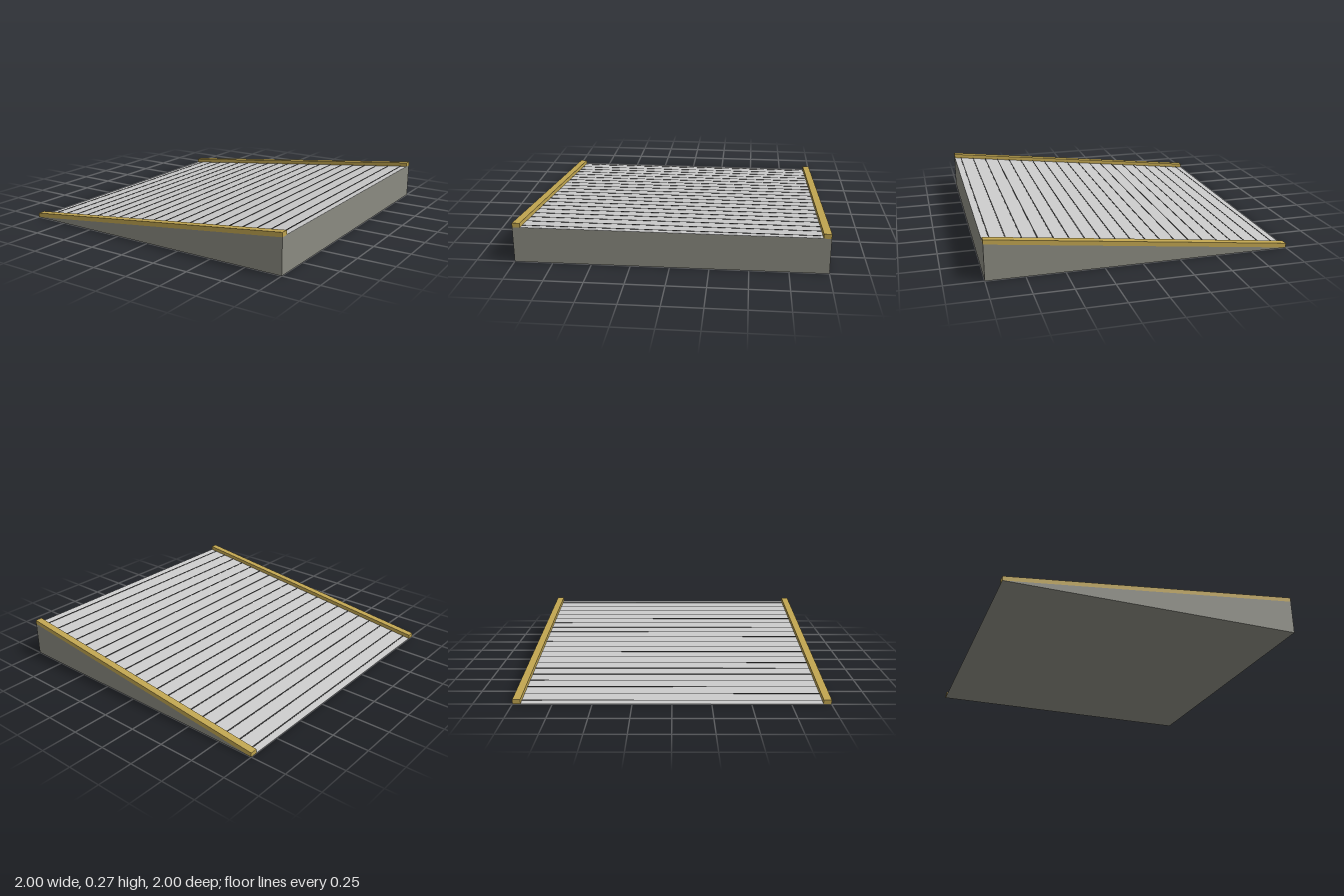
import * as THREE from 'three';

const RISE = 0.237;
const slopeY = (x) => (RISE * (x + 1)) / 2;

const material = (name, color) => Object.assign(new THREE.MeshStandardMaterial({ color }), { name });

// Prism with an x-y profile, running from z0 to z1
function prism(name, points, z0, z1, mat) {
  const shape = new THREE.Shape(points.map(([x, y]) => new THREE.Vector2(x, y)));
  const geometry = new THREE.ExtrudeGeometry(shape, { depth: z1 - z0, bevelEnabled: false });
  geometry.translate(0, 0, z0);
  const mesh = new THREE.Mesh(geometry, mat);
  mesh.name = name;
  return mesh;
}

// Slab lying on the slope between x0 and x1, with vertical ends
function slab(name, x0, x1, height, z0, z1, mat) {
  const a = slopeY(x0), b = slopeY(x1);
  return prism(name, [[x0, a], [x1, b], [x1, b + height], [x0, a + height]], z0, z1, mat);
}

export function createModel() {
  const concrete = material('concrete', 0x8b8b81);
  const metal = material('metal', 0xcacaca);
  const groove = material('groove', 0x3a3a3a);
  const yellow = material('curb yellow', 0xc0a550);

  const ramp = new THREE.Group();
  ramp.name = 'ramp';

  // Solid wedge and its surface sheet
  ramp.add(prism('wedge', [[-1, 0], [1, 0], [1, RISE]], -1, 1, concrete));
  ramp.add(slab('deck', -1, 1, 0.002, -0.95, 0.95, metal));

  // Grip strips across the slope
  const strips = new THREE.Group();
  strips.name = 'gripStrips';
  for (let i = 0; i < 20; i++) {
    const x = -0.95 + i * 0.1;
    strips.add(slab('gripStrip', x - 0.004, x + 0.004, 0.004, -0.95, 0.95, groove));
  }
  ramp.add(strips);

  // Raised curbs along both sides
  ramp.add(slab('frontCurb', -1, 1, 0.03, 0.95, 1, yellow));
  ramp.add(slab('backCurb', -1, 1, 0.03, -1, -0.95, yellow));

  return ramp;
}
